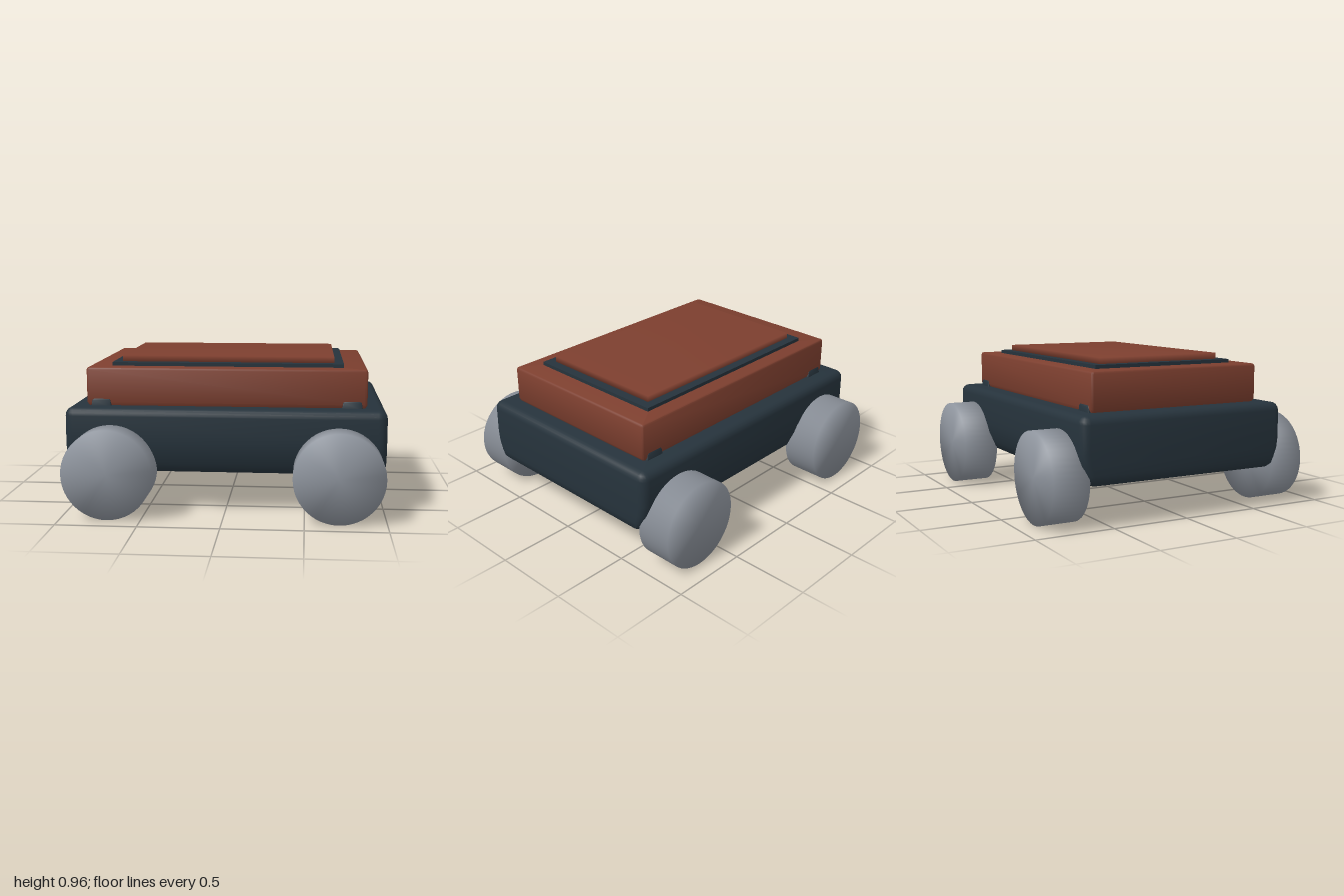
import * as THREE from 'three';
import { mergeVertices, toCreasedNormals } from 'three/addons/utils/BufferGeometryUtils.js';

const mat = (name, color) => new THREE.MeshStandardMaterial({ name, color });

// Stack of rounded rectangles; each level is [y, half width, half depth, corner radius]
function loft(levels, steps = 4) {
  const pos = [], idx = [], n = 4 * (steps + 1);
  for (const [y, hx, hz, r] of levels) {
    for (let q = 0; q < 4; q++) {
      const sx = q === 0 || q === 3 ? 1 : -1, sz = q < 2 ? 1 : -1;
      for (let s = 0; s <= steps; s++) {
        const a = (q + s / steps) * Math.PI / 2;
        pos.push(sx * (hx - r) + r * Math.cos(a), y, sz * (hz - r) + r * Math.sin(a));
      }
    }
  }
  for (let k = 0; k < levels.length - 1; k++) {
    for (let i = 0; i < n; i++) {
      const a = k * n + i, b = k * n + (i + 1) % n;
      idx.push(a, a + n, b + n, a, b + n, b);
    }
  }
  // End caps
  const top = (levels.length - 1) * n, c = levels.length * n;
  pos.push(0, levels[0][0], 0, 0, levels[levels.length - 1][0], 0);
  for (let i = 0; i < n; i++) {
    const j = (i + 1) % n;
    idx.push(c, i, j, c + 1, top + j, top + i);
  }
  const g = new THREE.BufferGeometry();
  g.setAttribute('position', new THREE.Float32BufferAttribute(pos, 3));
  g.setIndex(idx);
  return toCreasedNormals(g, 0.75);
}

// Share normals across all edges for a soft, pillowy shading
function soften(g) {
  g.deleteAttribute('normal');
  g.deleteAttribute('uv');
  const m = mergeVertices(g, 1e-4);
  m.computeVertexNormals();
  return m;
}

export function createModel() {
  const model = new THREE.Group();
  model.name = 'cart';
  const navy = mat('dark slate', 0x26333c);
  const rust = mat('rust red', 0x7d3f2f);
  const grey = mat('wheel grey', 0x8d939c);

  const add = (name, geometry, material, x = 0, y = 0, z = 0) => {
    const mesh = new THREE.Mesh(geometry, material);
    mesh.name = name;
    mesh.position.set(x, y, z);
    model.add(mesh);
    return mesh;
  };

  // Chassis with a rolled top edge and sides drawn in at the bottom
  const body = [[0.258, 0.975, 0.635, 0.04], [0.28, 0.995, 0.658, 0.045],
    [0.32, 1, 0.675, 0.05], [0.38, 1, 0.697, 0.05], [0.45, 1, 0.705, 0.05]];
  for (let i = 0; i <= 4; i++) {
    const a = i / 4 * Math.PI / 2, inset = 0.05 * (1 - Math.cos(a));
    body.push([0.615 + 0.05 * Math.sin(a), 1 - inset, 0.705 - inset, 0.055 - inset]);
  }
  add('chassis', loft(body), navy);

  // Upper box with small bevels
  add('upperBox', loft([[0.66, 0.865, 0.572, 0.01], [0.685, 0.88, 0.585, 0.018],
    [0.89, 0.88, 0.585, 0.018], [0.901, 0.875, 0.58, 0.014], [0.905, 0.866, 0.571, 0.01]]), rust);

  // Lid border and lid
  add('lidBorder', new THREE.BoxGeometry(1.468, 0.03, 0.96), navy, 0, 0.912, 0);
  add('lid', soften(new THREE.BoxGeometry(1.35, 0.05, 0.845)), rust, 0, 0.94, 0);

  // Corner clips and wheels
  const clip = loft([[0.655, 0.065, 0.065, 0.006], [0.7, 0.058, 0.062, 0.006], [0.712, 0.045, 0.055, 0.006]]);
  const wheel = soften(new THREE.CylinderGeometry(0.28, 0.28, 0.23, 48).rotateX(Math.PI / 2));
  for (const sx of [1, -1]) {
    for (const sz of [1, -1]) {
      const corner = (sz > 0 ? 'front' : 'back') + (sx > 0 ? 'Left' : 'Right');
      add(corner + 'Clip', clip, navy, sx * 0.787, 0, sz * 0.527);
      add(corner + 'Wheel', wheel, grey, sx * 0.707, 0.282, sz * 0.765);
    }
  }
  return model;
}
